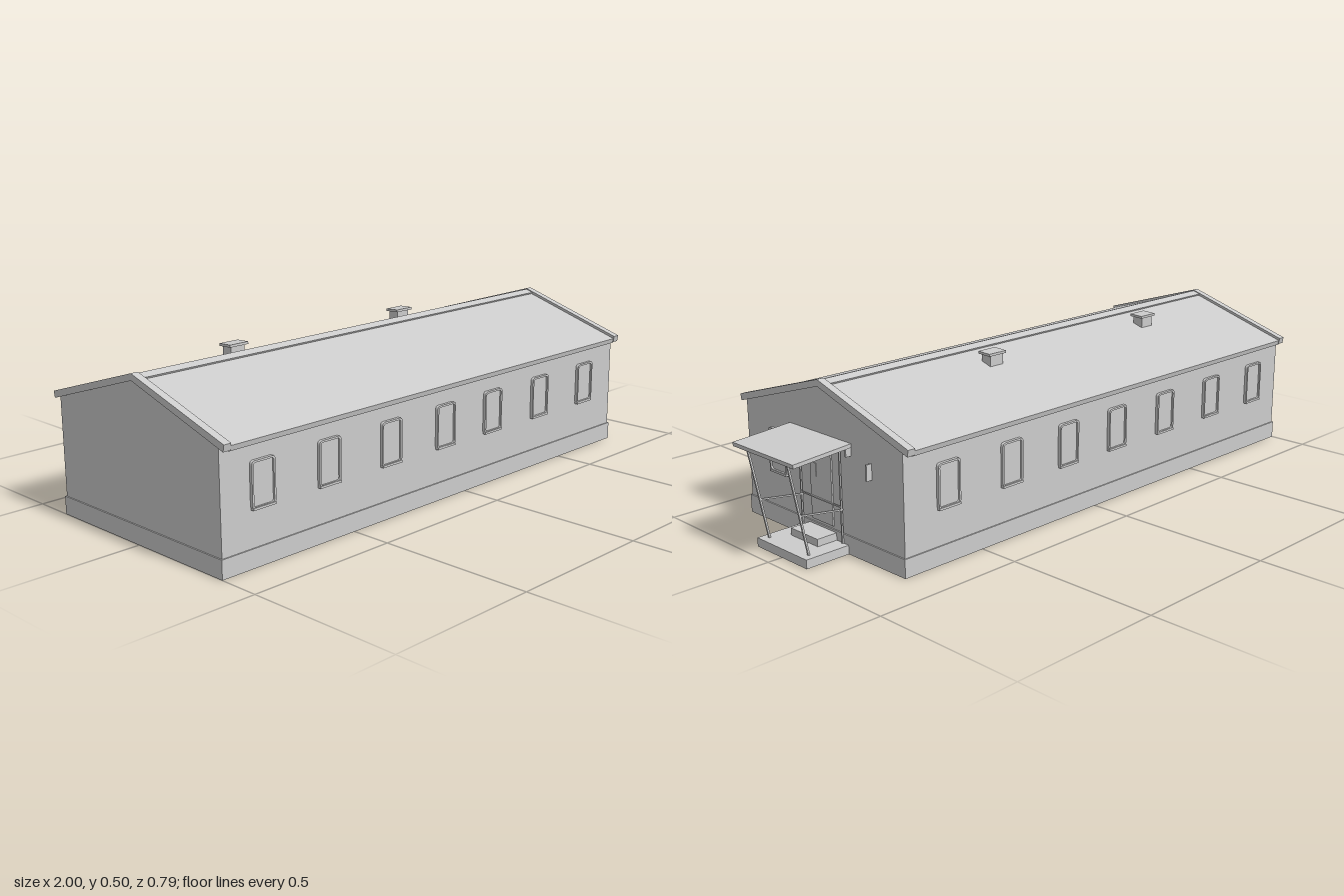
import * as THREE from 'three';

export function createModel() {
  const model = new THREE.Group();
  const grey = new THREE.MeshStandardMaterial({ color: 0xcccccc, flatShading: true, side: THREE.DoubleSide });

  function add(name, geometry, parent = model) {
    const mesh = new THREE.Mesh(geometry, grey);
    mesh.name = name;
    parent.add(mesh);
    return mesh;
  }

  // Box given by its limits on each axis
  function box(name, x0, x1, y0, y1, z0, z1, parent) {
    const mesh = add(name, new THREE.BoxGeometry(x1 - x0, y1 - y0, z1 - z0), parent);
    mesh.position.set((x0 + x1) / 2, (y0 + y1) / 2, (z0 + z1) / 2);
    return mesh;
  }

  // Cross-section of [z, y] points drawn along x
  function section(name, points, x0, x1) {
    const shape = new THREE.Shape(points.map(([z, y]) => new THREE.Vector2(-z, y)));
    const geometry = new THREE.ExtrudeGeometry(shape, { depth: x1 - x0, bevelEnabled: false });
    geometry.rotateY(Math.PI / 2).translate(x0, 0, 0);
    return add(name, geometry);
  }

  // Thin square bar between two points
  function bar(name, from, to, size = 0.006) {
    const a = new THREE.Vector3(...from), b = new THREE.Vector3(...to);
    const mesh = add(name, new THREE.BoxGeometry(size, size, a.distanceTo(b)));
    mesh.position.copy(a).lerp(b, 0.5);
    mesh.lookAt(b);
    return mesh;
  }

  // Gabled strip following the roof slope
  const SLOPE = 0.31;
  function gable(name, apex, half, thick, x0, x1) {
    const eave = apex - half * SLOPE;
    section(name, [[half, eave], [0, apex], [-half, eave],
      [-half + 0.004, eave - thick], [0, apex - thick], [half - 0.004, eave - thick]], x0, x1);
  }

  function roundedRect(path, w, h, r) {
    const x = w / 2, y = h / 2;
    path.moveTo(-x + r, -y);
    path.lineTo(x - r, -y).quadraticCurveTo(x, -y, x, -y + r);
    path.lineTo(x, y - r).quadraticCurveTo(x, y, x - r, y);
    path.lineTo(-x + r, y).quadraticCurveTo(-x, y, -x, y - r);
    path.lineTo(-x, -y + r).quadraticCurveTo(-x, -y, -x + r, -y);
    return path;
  }

  // Window: rounded frame, pane and sill
  const frameShape = roundedRect(new THREE.Shape(), 0.085, 0.138, 0.012);
  frameShape.holes.push(roundedRect(new THREE.Path(), 0.073, 0.126, 0.008));
  const frameGeometry = new THREE.ExtrudeGeometry(frameShape, { depth: 0.01, bevelEnabled: false, curveSegments: 4 });
  function addWindow(x, z, turn) {
    const group = new THREE.Group();
    group.name = 'window';
    add('windowFrame', frameGeometry, group);
    box('windowPane', -0.038, 0.038, -0.064, 0.064, 0, 0.004, group);
    box('windowSill', -0.041, 0.041, -0.071, -0.064, 0, 0.012, group);
    group.position.set(x, 0.24, z);
    group.rotation.y = turn;
    model.add(group);
  }

  // Base and walls
  box('plinth', -1, 0.8, 0, 0.058, -0.369, 0.369);
  section('walls', [[0.365, 0.05], [0.365, 0.375], [0, 0.488], [-0.365, 0.375], [-0.365, 0.05]], -0.996, 0.796);

  // Roof panels, raised gable trims and ridge cap
  gable('roof', 0.496, 0.39, 0.016, -0.98, 0.78);
  gable('gableTrim', 0.505, 0.393, 0.021, -1, -0.975);
  gable('gableTrim', 0.505, 0.393, 0.021, 0.775, 0.8);
  gable('ridgeCap', 0.502, 0.028, 0.008, -0.975, 0.775);

  // Roof vents
  for (const x of [-0.54, 0.2]) {
    box('ventStem', x - 0.027, x + 0.027, 0.44, 0.494, -0.127, -0.09);
    const cap = box('ventCap', x - 0.036, x + 0.036, 0.492, 0.5, -0.132, -0.082);
    cap.rotation.x = -0.04;
  }

  // Windows along both long walls and one beside the door
  for (const x of [-0.85, -0.6, -0.345, -0.1, 0.13, 0.378, 0.632]) {
    addWindow(x, 0.365, 0);
    addWindow(x, -0.365, Math.PI);
  }
  addWindow(0.796, 0.205, Math.PI / 2);

  // Door with small pane, and two wall plates
  box('door', 0.79, 0.801, 0.068, 0.317, -0.05, 0.05);
  box('doorPane', 0.795, 0.803, 0.205, 0.247, 0.02, 0.038);
  for (const z of [0.113, -0.228]) box('wallPlate', 0.795, 0.815, 0.256, 0.305, z - 0.003, z + 0.003);

  // Porch slab and step
  box('porchSlab', 0.79, 0.952, 0, 0.028, -0.119, 0.119);
  box('porchStep', 0.79, 0.87, 0.028, 0.051, -0.064, 0.064);

  // Sloping canopy
  const canopy = box('canopy', 0.797, 1, 0.325, 0.337, -0.144, 0.144);
  canopy.rotation.z = -0.07;

  // Posts, side rails and canopy brackets
  for (const s of [-1, 1]) {
    bar('porchPost', [0.925, 0.026, s * 0.095], [0.985, 0.324, s * 0.095]);
    bar('wallPost', [0.803, 0.028, s * 0.095], [0.803, 0.335, s * 0.095], 0.005);
    bar('sideRail', [0.798, 0.132, s * 0.095], [0.951, 0.154, s * 0.095], 0.005);
    box('canopyBracket', 0.796, 0.815, 0.306, 0.334, s * 0.138 - 0.003, s * 0.138 + 0.003);
  }
  bar('crossBar', [0.803, 0.14, -0.095], [0.803, 0.14, 0.095], 0.004);

  return model;
}
